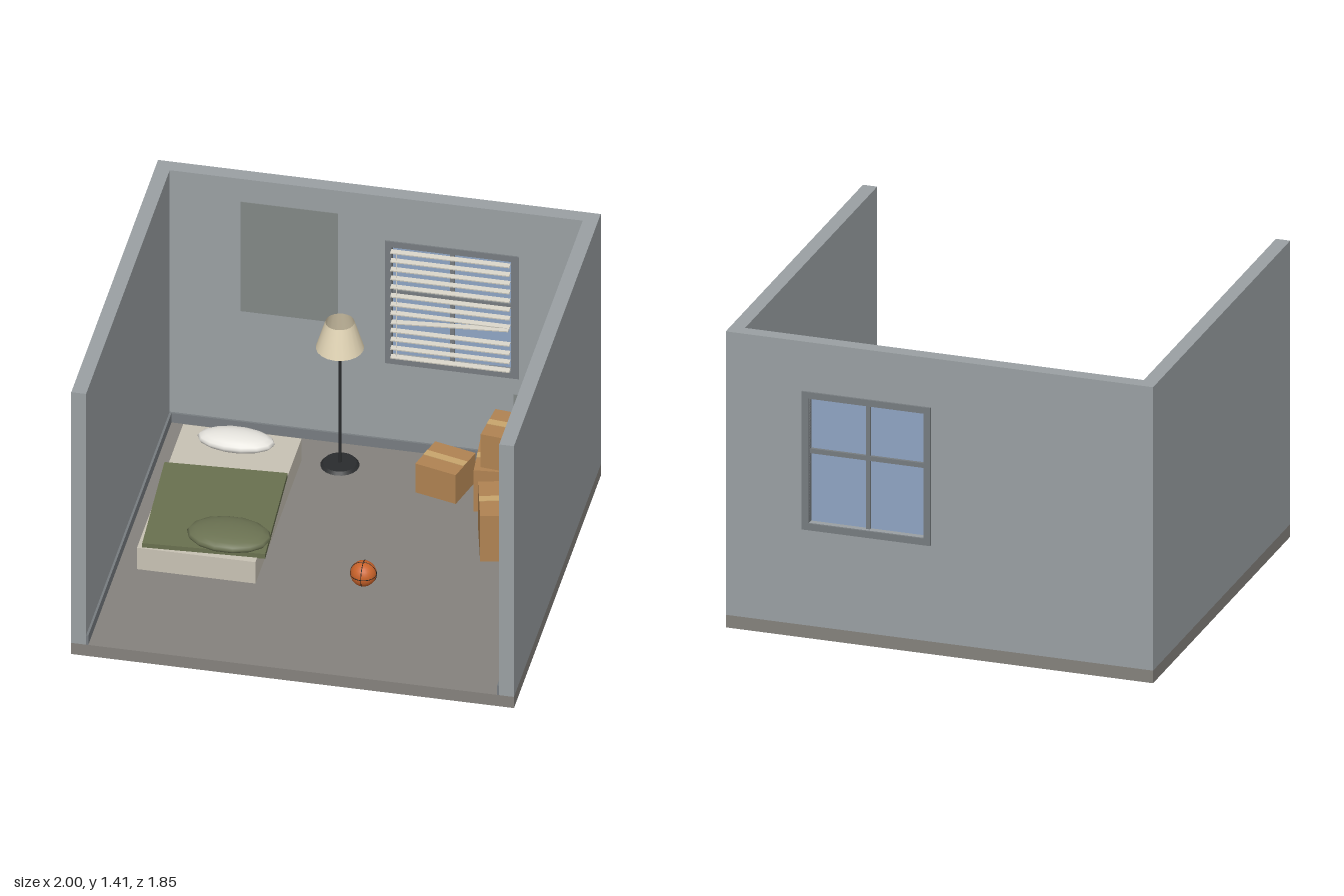
import * as THREE from 'three';

const mat = (color, side = THREE.FrontSide) => new THREE.MeshStandardMaterial({ color, side });
const M = {
  wall: mat(0x9aa0a3), floor: mat(0x85827d), trim: mat(0x777c80), stain: mat(0x828785),
  glass: mat(0x8fa5c4), slat: mat(0xd6d2c6), mattress: mat(0xc8c2b4), blanket: mat(0x69704f),
  pillow: mat(0xe6e4de), cushion: mat(0x6b7252), metal: mat(0x2a2c2e),
  shade: mat(0xe0d3b4, THREE.DoubleSide), bulb: mat(0xe0b860),
  card: mat(0xb08352), tape: mat(0xc9a56c), ball: mat(0xc8622a), seam: mat(0x1c1a18),
};

export function createModel() {
  const room = new THREE.Group();
  room.name = 'bedroom';

  const add = (name, geo, material, x, y, z, parent = room) => {
    const mesh = new THREE.Mesh(geo, material);
    mesh.name = name;
    mesh.position.set(x, y, z);
    parent.add(mesh);
    return mesh;
  };
  // Box given by its min and max corners
  const span = (name, material, [x0, y0, z0], [x1, y1, z1], parent = room) =>
    add(name, new THREE.BoxGeometry(x1 - x0, y1 - y0, z1 - z0), material,
      (x0 + x1) / 2, (y0 + y1) / 2, (z0 + z1) / 2, parent);
  const rectPath = (path, x0, y0, x1, y1) => {
    path.moveTo(x0, y0).lineTo(x1, y0).lineTo(x1, y1).lineTo(x0, y1).closePath();
    return path;
  };
  // Upright panel with a rectangular opening
  const panel = (name, material, outer, inner, z0, z1, parent = room) => {
    const shape = rectPath(new THREE.Shape(), ...outer);
    shape.holes.push(rectPath(new THREE.Path(), ...inner));
    return add(name, new THREE.ExtrudeGeometry(shape, { depth: z1 - z0, bevelEnabled: false }),
      material, 0, 0, z0, parent);
  };

  // Shell: floor, three walls and baseboards
  const back = -0.915, inner = -0.848, front = 0.92, top = 1.41;
  span('floor', M.floor, [-1, 0, back], [1, 0.06, front]);
  panel('backWall', M.wall, [-0.933, 0.06, 0.933, top], [0.07, 0.55, 0.61, 1.145], back, inner);
  for (const s of [-1, 1]) {
    const side = s < 0 ? 'right' : 'left';
    add(side + 'Wall', new THREE.BoxGeometry(0.067, top - 0.06, front - back), M.wall,
      s * 0.9665, (top + 0.06) / 2, (front + back) / 2);
    add(side + 'Baseboard', new THREE.BoxGeometry(0.01, 0.05, front - inner), M.trim,
      s * 0.928, 0.085, (front + inner) / 2);
  }
  span('backBaseboard', M.trim, [-0.923, 0.06, inner], [0.923, 0.11, -0.838]);

  // Faded patches on the back wall
  span('wallPatch', M.stain, [-0.612, 0.70, inner], [-0.172, 1.288, -0.845]);
  span('smallWallPatch', M.stain, [0.62, 0.18, inner], [0.855, 0.43, -0.845]);

  // Window: frame, glass and crossing bars
  const win = new THREE.Group();
  win.name = 'window';
  room.add(win);
  panel('windowFrame', M.trim, [0.04, 0.518, 0.643, 1.175], [0.07, 0.55, 0.61, 1.145], -0.925, -0.841, win);
  span('glass', M.glass, [0.07, 0.55, -0.886], [0.61, 1.145, -0.88], win);
  span('verticalBar', M.trim, [0.33, 0.55, -0.9], [0.35, 1.145, -0.866], win);
  span('horizontalBar', M.trim, [0.07, 0.876, -0.9], [0.61, 0.898, -0.866], win);

  // Blind with one slat hanging loose
  const blind = new THREE.Group();
  blind.name = 'blind';
  room.add(blind);
  const slatGeo = new THREE.BoxGeometry(0.538, 0.006, 0.025);
  for (let i = 0; i < 13; i++) {
    const loose = i === 8;
    const slat = add(loose ? 'looseSlat' : 'slat', slatGeo, M.slat,
      0.34, loose ? 0.778 : 1.135 - i * 0.047, loose ? -0.817 : -0.824, blind);
    slat.rotation.set(0.15, loose ? -0.03 : 0, loose ? 0.1 : 0);
  }
  span('cord', M.slat, [0.095, 0.56, -0.826], [0.099, 1.135, -0.822], blind);

  // Bed: mattress, blanket and two soft pillows
  const bed = new THREE.Group();
  bed.name = 'bed';
  room.add(bed);
  span('mattress', M.mattress, [-0.835, 0.06, -0.675], [-0.3, 0.175, 0.302], bed);
  add('blanket', new THREE.BoxGeometry(0.55, 0.025, 0.635), M.blanket, -0.556, 0.185, -0.038, bed)
    .rotation.y = 0.055;
  const soft = new THREE.SphereGeometry(1, 14, 10);
  add('pillow', soft, M.pillow, -0.567, 0.222, -0.54, bed).scale.set(0.175, 0.042, 0.086);
  add('cushion', soft, M.cushion, -0.445, 0.22, 0.18, bed).scale.set(0.19, 0.042, 0.13);

  // Floor lamp
  const lamp = new THREE.Group();
  lamp.name = 'floorLamp';
  lamp.position.set(-0.127, 0, -0.675);
  room.add(lamp);
  add('lampBase', new THREE.CylinderGeometry(0.075, 0.087, 0.014, 20), M.metal, 0, 0.067, 0, lamp);
  add('lampPole', new THREE.CylinderGeometry(0.006, 0.006, 0.67, 10), M.metal, 0, 0.405, 0, lamp);
  add('lampShade', new THREE.CylinderGeometry(0.065, 0.107, 0.137, 20, 1, true), M.shade, 0, 0.76, 0, lamp);
  add('bulb', new THREE.SphereGeometry(0.022, 12, 8), M.bulb, 0, 0.75, 0, lamp);

  // Cardboard boxes with a strip of tape: x, z, width, depth, bottom, top, turn
  for (const [x, z, w, d, y0, y1, turn] of [
    [0.365, -0.603, 0.2, 0.193, 0.06, 0.215, -0.26],
    [0.66, -0.578, 0.29, 0.24, 0.06, 0.281, 0.09],
    [0.683, -0.565, 0.242, 0.206, 0.281, 0.458, -0.11],
    [0.733, -0.233, 0.268, 0.268, 0.06, 0.305, 0.245],
  ]) {
    const box = new THREE.Group();
    box.name = 'cardboardBox';
    box.position.set(x, y0, z);
    box.rotation.y = turn;
    room.add(box);
    add('carton', new THREE.BoxGeometry(w, y1 - y0, d), M.card, 0, (y1 - y0) / 2, 0, box);
    add('tape', new THREE.BoxGeometry(w, 0.003, 0.038), M.tape, 0, y1 - y0 + 0.001, 0, box);
  }

  // Ball with three seams
  const ball = new THREE.Group();
  ball.name = 'ball';
  ball.position.set(0.168, 0.12, 0.208);
  room.add(ball);
  add('ballBody', new THREE.SphereGeometry(0.059, 20, 14), M.ball, 0, 0, 0, ball);
  const seam = new THREE.TorusGeometry(0.0585, 0.002, 6, 28);
  for (const [rx, ry] of [[0, 0], [Math.PI / 2, 0], [0, Math.PI / 2]])
    add('seam', seam, M.seam, 0, 0, 0, ball).rotation.set(rx, ry, 0);

  return room;
}
